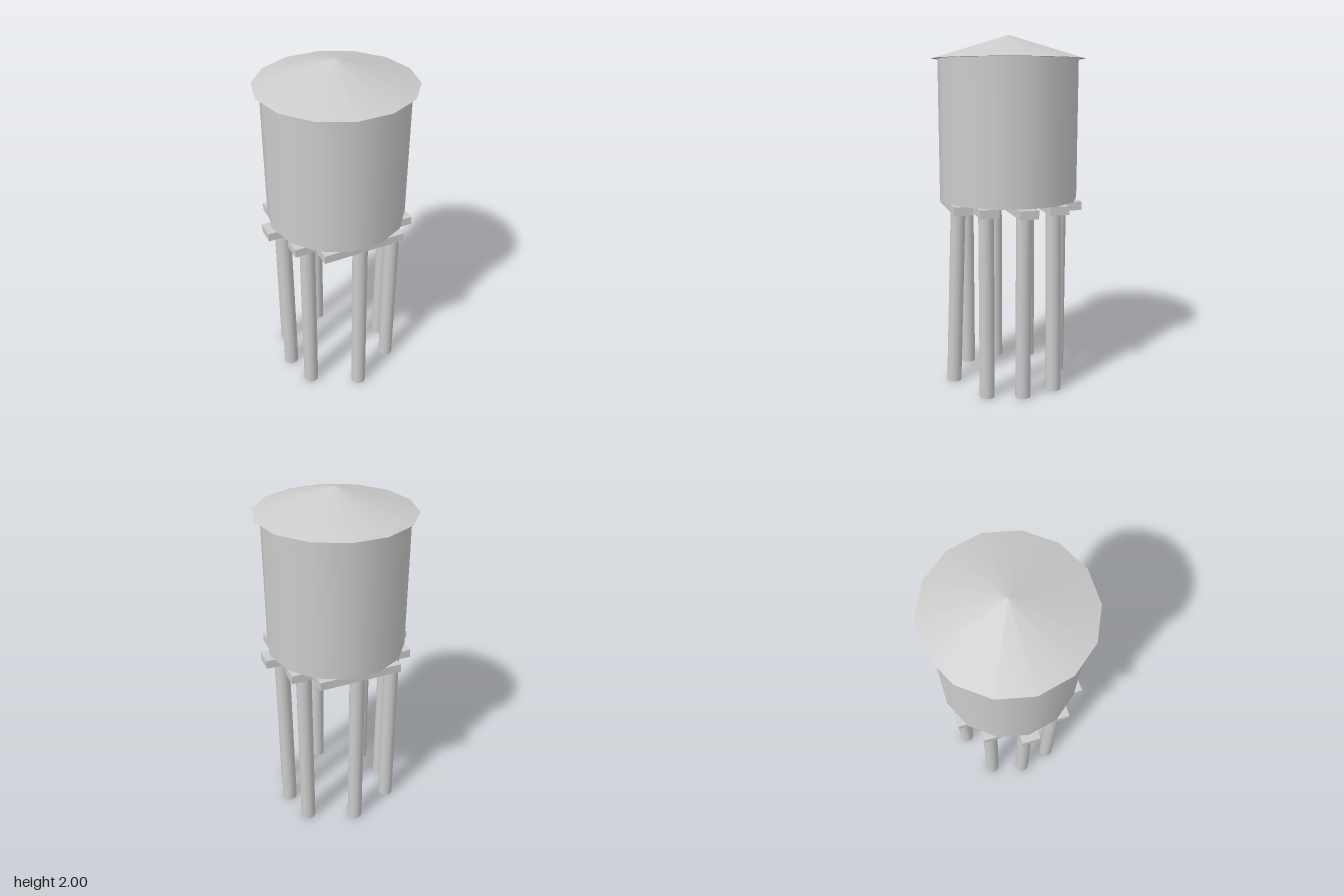
import * as THREE from 'three';

const material = new THREE.MeshStandardMaterial({ color: 0xcccccc });
const SIDES = 14;
const BEAM_BOTTOM = 1.037, BEAM_TOP = 1.085, EAVE = 1.87;

function addPart(parent, name, geometry, x = 0, y = 0, z = 0) {
  const mesh = new THREE.Mesh(geometry, material);
  mesh.name = name;
  mesh.position.set(x, y, z);
  parent.add(mesh);
  return mesh;
}

// Round post whose ends stay level while its axis leans from foot to head
function postGeometry([footX, footZ], [headX, headZ]) {
  const geometry = new THREE.CylinderGeometry(0.043, 0.043, BEAM_BOTTOM, 16);
  geometry.translate(0, BEAM_BOTTOM / 2, 0);
  const pos = geometry.attributes.position;
  for (let i = 0; i < pos.count; i++) {
    const t = pos.getY(i) / BEAM_BOTTOM;
    pos.setX(i, pos.getX(i) + THREE.MathUtils.lerp(footX, headX, t));
    pos.setZ(i, pos.getZ(i) + THREE.MathUtils.lerp(footZ, headZ, t));
  }
  return geometry;
}

export function createModel() {
  const group = new THREE.Group();
  group.name = 'waterTower';

  // Tank and conical roof, each with a corner on the x axis
  const tankHeight = EAVE - BEAM_TOP;
  addPart(group, 'tank',
    new THREE.CylinderGeometry(0.395, 0.395, tankHeight, SIDES, 1, false, Math.PI / 2),
    0, BEAM_TOP + tankHeight / 2, 0);
  addPart(group, 'roof',
    new THREE.ConeGeometry(0.434, 2 - EAVE, SIDES, 1, false, Math.PI / 2),
    0, (EAVE + 2) / 2, 0);

  // Platform beams running along x: [z, half length]
  const platform = new THREE.Group();
  platform.name = 'platform';
  group.add(platform);
  for (const [z, half] of [[0.31, 0.237], [0.194, 0.357], [0, 0.433], [-0.195, 0.354], [-0.31, 0.237]]) {
    addPart(platform, 'beam', new THREE.BoxGeometry(half * 2, BEAM_TOP - BEAM_BOTTOM, 0.104),
      0, (BEAM_TOP + BEAM_BOTTOM) / 2, z);
  }

  // Eight posts, a few of them slightly out of plumb: [foot, head]
  const legs = new THREE.Group();
  legs.name = 'legs';
  group.add(legs);
  const posts = [
    [[-0.003, 0.333], [0.005, 0.297]],
    [[0, -0.308], [0, -0.308]],
    [[0.318, 0], [0.328, 0]],
    [[-0.32, 0], [-0.328, 0]],
    [[0.266, 0.194], [0.266, 0.194]],
    [[-0.266, 0.194], [-0.266, 0.194]],
    [[0.266, -0.198], [0.266, -0.186]],
    [[-0.266, -0.198], [-0.266, -0.194]],
  ];
  for (const [foot, head] of posts) addPart(legs, 'leg', postGeometry(foot, head));

  return group;
}
